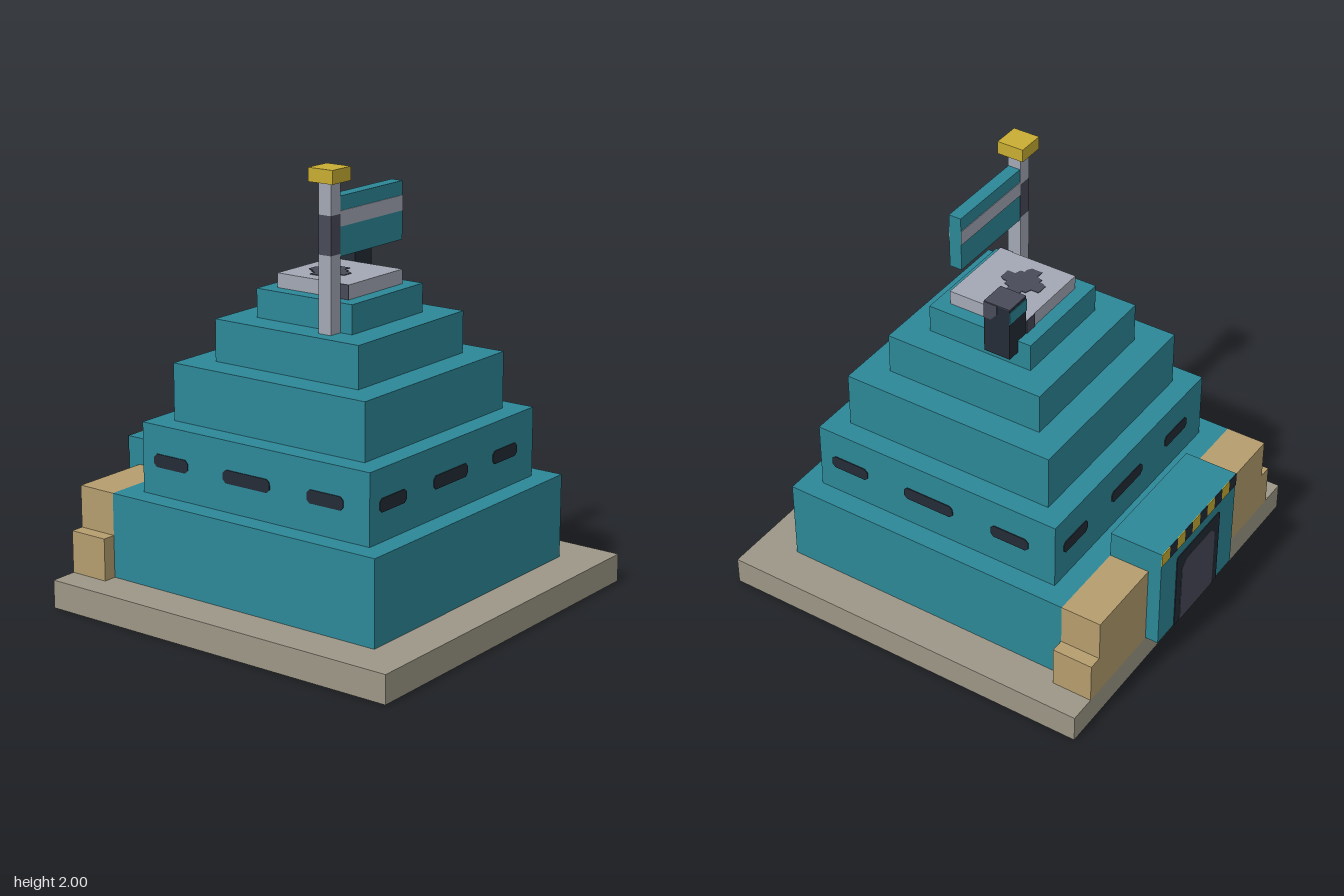
import * as THREE from 'three';

const flat = (name, color) => {
  const m = new THREE.MeshStandardMaterial({ color });
  m.name = name;
  return m;
};

export function createModel() {
  const teal = flat('teal', 0x2d8797);
  const stone = flat('stone', 0x9c9686);
  const sand = flat('sand', 0xb59d6e);
  const silver = flat('silver', 0xa3a8b4);
  const slate = flat('slate', 0x484a58);
  const black = flat('black', 0x232c36);
  const gold = flat('gold', 0xc9ad33);

  const root = new THREE.Group();
  root.name = 'steppedFortress';

  // Box given by its extents along each axis
  const box = (name, mat, [x0, x1], [y0, y1], [z0, z1], parent = root) => {
    const mesh = new THREE.Mesh(new THREE.BoxGeometry(x1 - x0, y1 - y0, z1 - z0), mat);
    mesh.position.set((x0 + x1) / 2, (y0 + y1) / 2, (z0 + z1) / 2);
    mesh.name = name;
    parent.add(mesh);
    return mesh;
  };

  // Thin extruded plate from a 2D outline
  const plate = (name, mat, points, parent = root) => {
    const shape = new THREE.Shape(points.map(([x, y]) => new THREE.Vector2(x, y)));
    const geo = new THREE.ExtrudeGeometry(shape, { depth: 0.004, bevelEnabled: false });
    const mesh = new THREE.Mesh(geo, mat);
    mesh.name = name;
    parent.add(mesh);
    return mesh;
  };

  // Ground slab and stepped tiers
  const cz = 0.03;
  box('base', stone, [-0.9, 0.9], [0, 0.13], [-0.87, 0.935]);
  [[0.71, 0.13, 0.52], [0.613, 0.52, 0.84], [0.515, 0.84, 1.1], [0.385, 1.1, 1.29], [0.257, 1.29, 1.42]]
    .forEach(([h, y0, y1], i) => box(`tier${i + 1}`, teal, [-h, h], [y0, y1], [cz - h, cz + h]));

  // Three slit windows on every side of the second tier
  for (let side = 0; side < 4; side++) {
    const group = new THREE.Group();
    group.name = 'windowRow';
    group.position.z = cz;
    group.rotation.y = side * Math.PI / 2;
    for (const [a, b] of [[-0.547, -0.357], [-0.16, 0.093], [0.29, 0.48]]) {
      const c = 0.015;
      plate('window', black, [
        [a + c, 0.65], [b - c, 0.65], [b, 0.65 + c], [b, 0.71 - c],
        [b - c, 0.71], [a + c, 0.71], [a, 0.71 - c], [a, 0.65 + c],
      ], group).position.z = 0.613;
    }
    root.add(group);
  }

  // Gatehouse at the back
  box('gatehouse', teal, [-0.32, 0.32], [0.13, 0.645], [-0.932, -0.68]);
  const gate = new THREE.Group();
  gate.name = 'gateFace';
  gate.position.z = -0.932;
  gate.rotation.y = Math.PI;
  root.add(gate);
  const arch = (w, top, c) => [[-w, 0.13], [w, 0.13], [w, top - c], [w - c, top], [-w + c, top], [-w, top - c]];
  plate('doorFrame', black, arch(0.185, 0.525, 0.008), gate);
  plate('door', slate, arch(0.142, 0.47, 0.035), gate).position.z = 0.002;
  for (let i = 0; i < 10; i++) {
    const x = -0.32 + i * 0.064;
    box('hazardStripe', i % 2 ? black : gold, [x, x + 0.064], [0.58, 0.645], [0, 0.004], gate);
  }

  // Stepped walls beside the gate
  for (const s of [-1, 1]) {
    const span = (a, b) => (s > 0 ? [a, b] : [-b, -a]);
    box('gateWall', sand, span(0.32, 0.71), [0.13, 0.52], [-0.87, -0.68]);
    box('gateWallStep', sand, span(0.71, 0.773), [0.13, 0.325], [-0.87, -0.68]);
  }

  // Roof pad with its cross mark and dark corners
  box('roofPad', silver, [-0.193, 0.193], [1.42, 1.485], [cz - 0.193, cz + 0.193]);
  const t = 0.033, m = 0.062, r = 0.1;
  const quarter = [[r, -t], [r, t * 0.6], [r - 0.02, t], [m, t], [m, m - 0.01], [t, m], [t, r - 0.015]];
  const cross = [];
  for (let k = 0; k < 4; k++) {
    const c = Math.round(Math.cos(k * Math.PI / 2)), s = Math.round(Math.sin(k * Math.PI / 2));
    quarter.forEach(([x, y]) => cross.push([x * c - y * s, x * s + y * c]));
  }
  const mark = plate('padMark', slate, cross);
  mark.rotation.x = -Math.PI / 2;
  mark.position.set(-0.033, 1.484, 0);
  box('padCornerBack', slate, [0.13, 0.193], [1.42, 1.485], [-0.167, -0.163]);
  box('padCornerSide', slate, [-0.197, -0.193], [1.42, 1.485], [0.16, 0.223]);

  // Flagpole with dark band and gold cap
  const px = [-0.323, -0.257], pz = [0.16, 0.225];
  box('poleLower', silver, px, [1.29, 1.63], pz);
  box('poleBand', slate, px, [1.63, 1.8], pz);
  box('poleUpper', silver, px, [1.8, 1.94], pz);
  box('poleCap', gold, [-0.355, -0.227], [1.94, 2], [0.13, 0.257]);

  // Flag with a pale stripe on both faces
  box('flag', teal, [-0.257, 0.191], [1.617, 1.875], [0.163, 0.222]);
  box('flagStripeFront', silver, [-0.257, 0.191], [1.745, 1.812], [0.222, 0.225]);
  box('flagStripeBack', silver, [-0.257, 0.191], [1.745, 1.812], [0.16, 0.163]);

  // Roof vent box with lid and painted panels
  box('vent', black, [0.193, 0.318], [1.36, 1.611], [-0.163, -0.035]);
  box('ventLid', slate, [0.193, 0.318], [1.611, 1.615], [-0.163, -0.035]);
  box('ventBand', teal, [0.193, 0.318], [1.54, 1.6], [-0.166, -0.163]);
  const panel = plate('ventPanel', slate, [[0, 0], [0.035, 0], [0.065, 0.035], [0.065, 0.08], [0, 0.08]]);
  panel.rotation.y = Math.PI / 2;
  panel.position.set(0.317, 1.533, -0.035);
  return root;
}
